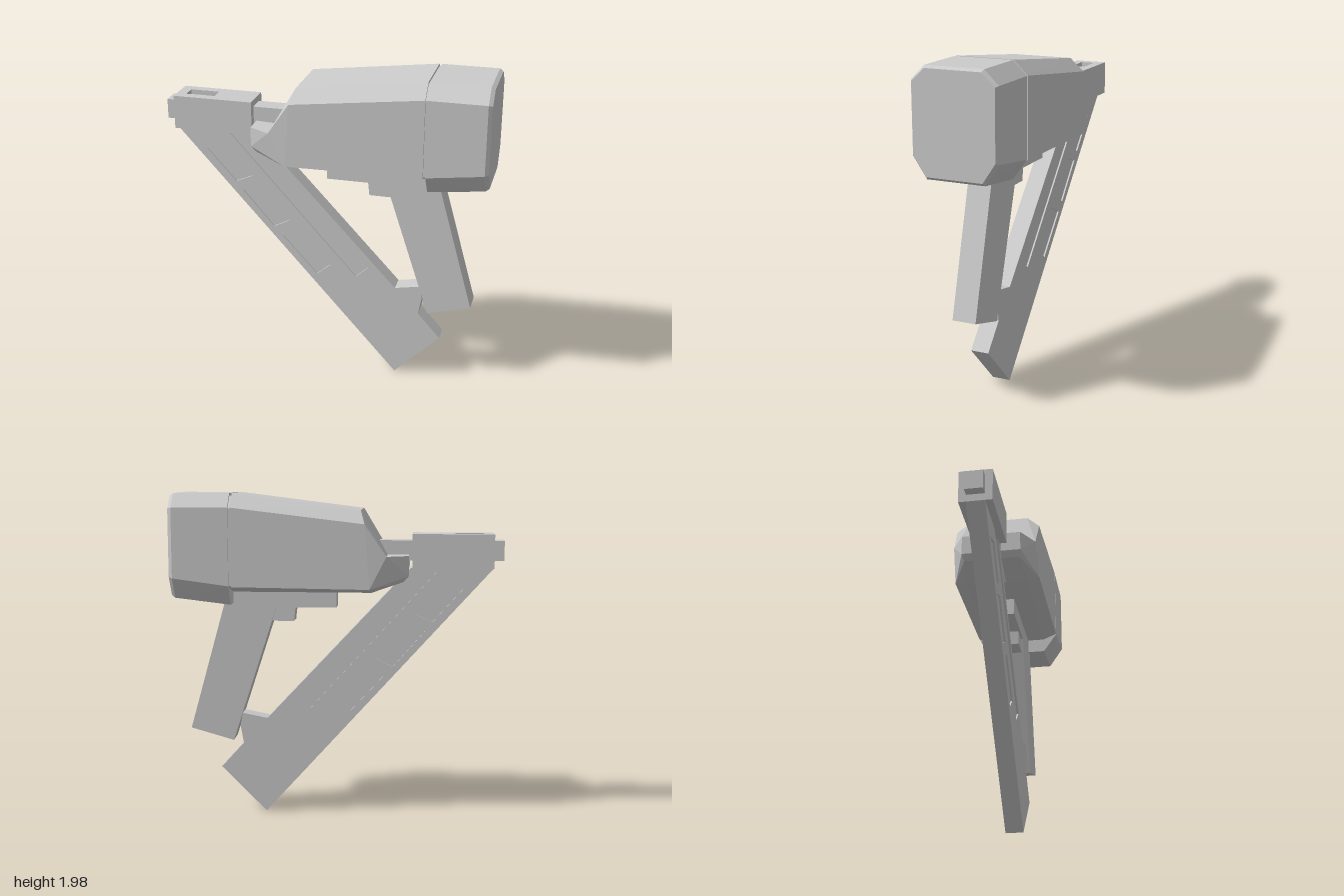
import * as THREE from 'three';
import { ConvexGeometry } from 'three/addons/geometries/ConvexGeometry.js';

const material = new THREE.MeshStandardMaterial({ color: 0xcccccc, flatShading: true });

export function createModel() {
  const model = new THREE.Group();
  const add = (name, geometry) => {
    const mesh = new THREE.Mesh(geometry, material);
    mesh.name = name;
    model.add(mesh);
    return mesh;
  };
  const box = (name, x0, x1, y0, y1, w) =>
    add(name, new THREE.BoxGeometry(x1 - x0, y1 - y0, 2 * w)
      .translate((x0 + x1) / 2, (y0 + y1) / 2, 0));
  const outline = (pts) => new THREE.Shape(pts.map(([x, y]) => new THREE.Vector2(x, y)));
  // side profile extruded from z0 to z1
  const slab = (name, pts, z0, z1, holes = []) => {
    const shape = outline(pts);
    shape.holes = holes.map(outline);
    return add(name, new THREE.ExtrudeGeometry(shape, { depth: z1 - z0, bevelEnabled: false })
      .translate(0, 0, z0));
  };
  // faceted solid around points; mirrored across z when asked
  const hull = (name, pts, mirror = true) => {
    const all = pts.map((p) => new THREE.Vector3(...p));
    if (mirror) pts.forEach(([x, y, z]) => all.push(new THREE.Vector3(x, y, -z)));
    return add(name, new ConvexGeometry(all));
  };
  // half of a chamfered octagonal section at x
  const section = (x, top, shoulder, hip, bottom, inset = 0) => [
    [x, top - inset, 0.178 - inset * 0.5], [x, shoulder - inset * 0.5, 0.263 - inset],
    [x, hip + inset * 0.5, 0.263 - inset], [x, bottom + inset, 0.178 - inset * 0.5],
  ];

  // Motor housing with sloped front
  hull('housing', [
    ...section(0.625, 1.987, 1.905, 1.435, 1.4),
    [-0.145, 1.89, 0.185], [-0.17, 1.81, 0.263],
    [-0.3, 1.62, 0.255], [-0.2, 1.425, 0.263], [-0.21, 1.4, 0.185],
  ]);
  // Groove filler between housing and rear cap
  hull('capSeam', [
    ...section(0.6, 1.984, 1.905, 1.435, 1.4, 0.012),
    ...section(0.66, 1.984, 1.905, 1.435, 1.4, 0.012),
  ]);
  // Rear cap with a deeper chin and softened back edge
  hull('rearCap', [
    ...section(0.64, 1.987, 1.905, 1.44, 1.32),
    ...section(0.978, 1.987, 1.905, 1.485, 1.36),
    ...section(1.0, 1.987, 1.905, 1.487, 1.363, 0.014),
  ]);

  // Two nose lobes either side of the drive bar
  for (const s of [1, -1]) {
    hull('noseLobe', [
      [-0.3, 1.62, 0.255], [-0.2, 1.425, 0.263], [-0.21, 1.4, 0.185], [-0.21, 1.4, 0.06],
      [-0.28, 1.62, 0.08], [-0.43, 1.62, 0.18], [-0.43, 1.62, 0.06],
      [-0.43, 1.5, 0.18], [-0.43, 1.5, 0.06], [-0.4, 1.465, 0.17], [-0.4, 1.465, 0.06],
    ].map(([x, y, z]) => [x, y, z * s]), false);
  }

  // Drive bar and muzzle block with a window on top
  box('driveBar', -1, -0.2, 1.585, 1.705, 0.055);
  box('muzzleBlock', -0.94, -0.45, 1.54, 1.715, 0.1);
  const lid = outline([[-0.94, -0.1], [-0.45, -0.1], [-0.45, 0.1], [-0.94, 0.1]]);
  lid.holes = [outline([[-0.88, -0.043], [-0.88, 0.043], [-0.7, 0.043], [-0.7, -0.043]])];
  add('muzzleLid', new THREE.ExtrudeGeometry(lid, { depth: 0.03, bevelEnabled: false })
    .rotateX(-Math.PI / 2).translate(0, 1.715, 0));

  // Handle, trigger rail and trigger
  slab('handle', [[0.69, 1.34], [0.915, 0.535], [0.65, 0.46], [0.405, 1.21], [0.34, 1.42], [0.67, 1.42]],
    -0.073, 0.073);
  box('triggerRail', 0.01, 0.45, 1.295, 1.42, 0.073);
  slab('trigger', [[0.26, 1.3], [0.27, 1.21], [0.43, 1.21], [0.43, 1.3]], -0.06, 0.06);

  // Slanted magazine: solid core with recessed side plates
  const foot = [[-0.94, 1.54], [0.45, 0.005], [0.73, 0.285], [0.59, 0.44], [0.61, 0.55],
    [0.595, 0.63], [0.44, 0.6], [-0.44, 1.54]];
  const slot = [[-0.5, 1.54], [0.27, 0.72], [0.19, 0.645], [-0.62, 1.54]];
  const windows = [
    [[-0.755, 1.41], [-0.63, 1.44], [-0.47, 1.255], [-0.575, 1.21]],
    [[-0.53, 1.155], [-0.42, 1.195], [-0.23, 0.985], [-0.335, 0.93]],
    [[-0.28, 0.875], [-0.165, 0.93], [0.03, 0.71], [-0.06, 0.635]],
  ];
  slab('magazineCore', foot, -0.046, 0.046);
  slab('magazinePlateLeft', [...foot, ...slot], 0.046, 0.056, windows);
  slab('magazinePlateRight', [...foot, ...slot], -0.056, -0.046, windows);

  return model;
}
